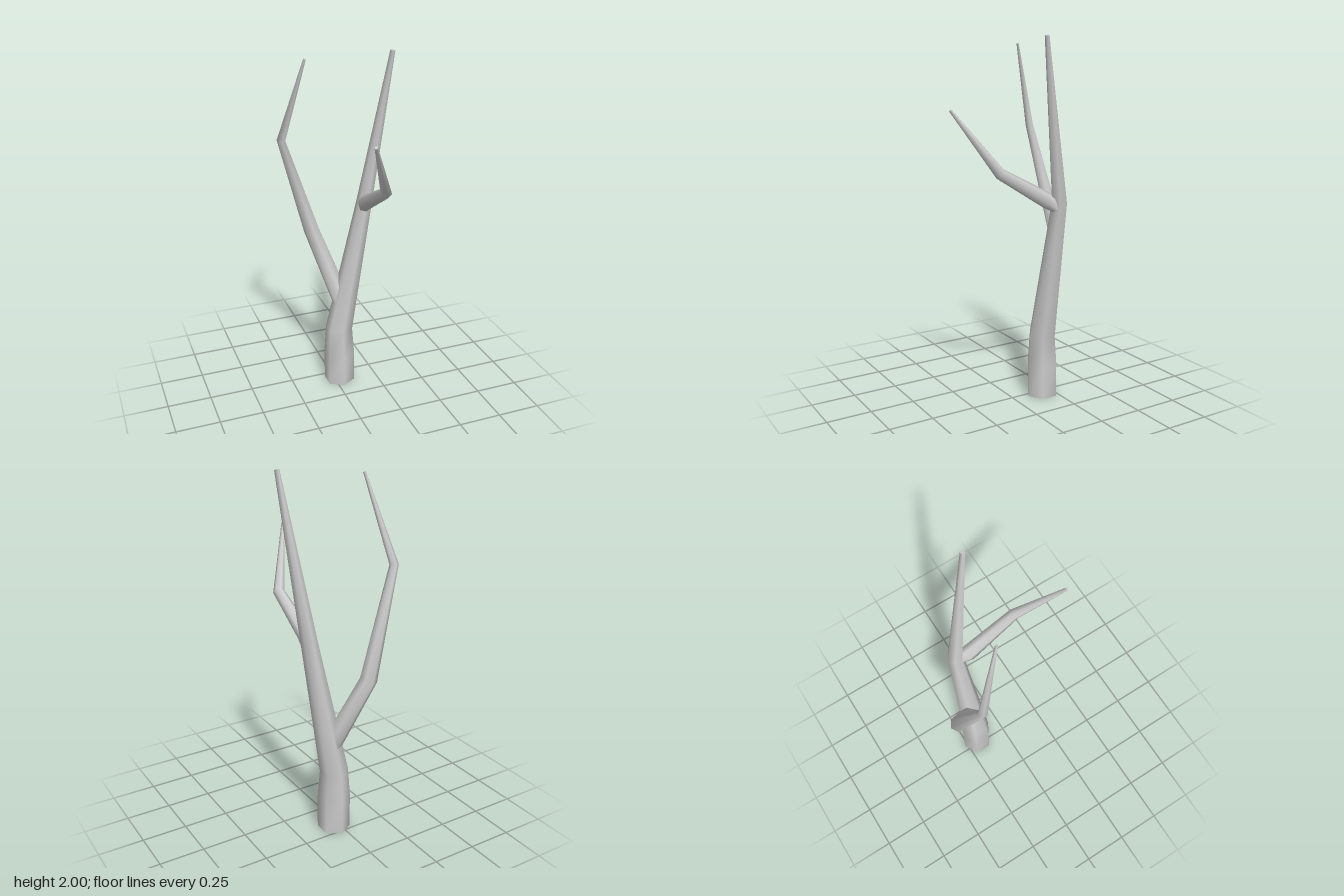
import * as THREE from 'three';

const SIDES = 6;
const material = new THREE.MeshStandardMaterial({ color: 0xcccccc });

// Lofts a six-sided tapering limb through rings given as [x, y, z, radius]
function limb(name, rings) {
  const centres = rings.map(([x, y, z]) => new THREE.Vector3(x, y, z));
  const up = new THREE.Vector3(0, 1, 0);
  const positions = [], indices = [];
  const last = rings.length - 1;

  const loops = rings.map((ring, i) => {
    // Each ring faces halfway between its two neighbouring segments
    const dir = new THREE.Vector3();
    if (i > 0) dir.add(centres[i].clone().sub(centres[i - 1]).normalize());
    if (i < last) dir.add(centres[i + 1].clone().sub(centres[i]).normalize());
    const turn = new THREE.Quaternion().setFromUnitVectors(up, dir.normalize());
    return Array.from({ length: SIDES }, (_, j) => {
      const a = (j / SIDES) * Math.PI * 2;
      return new THREE.Vector3(Math.sin(a), 0, Math.cos(a))
        .multiplyScalar(ring[3]).applyQuaternion(turn).add(centres[i]);
    });
  });
  const push = (p) => positions.push(p.x, p.y, p.z) / 3 - 1;

  // Bark walls share vertices so they shade smoothly
  loops.forEach((loop) => loop.forEach(push));
  for (let i = 0; i < last; i++) {
    for (let j = 0; j < SIDES; j++) {
      const a = i * SIDES + j, b = i * SIDES + (j + 1) % SIDES;
      indices.push(a, b, b + SIDES, a, b + SIDES, a + SIDES);
    }
  }
  // Flat end caps have their own vertices to keep the rim sharp
  [0, last].forEach((i) => {
    const first = positions.length / 3;
    loops[i].forEach(push);
    for (let j = 1; j < SIDES - 1; j++) {
      if (i === 0) indices.push(first, first + j + 1, first + j);
      else indices.push(first, first + j, first + j + 1);
    }
  });

  const geometry = new THREE.BufferGeometry();
  geometry.setAttribute('position', new THREE.Float32BufferAttribute(positions, 3));
  geometry.setIndex(indices);
  geometry.computeVertexNormals();
  const mesh = new THREE.Mesh(geometry, material);
  mesh.name = name;
  return mesh;
}

export function createModel() {
  const tree = new THREE.Group();
  tree.name = 'bareTree';
  tree.add(
    limb('trunk', [
      [0.03, 0, -0.18, 0.09],
      [0.03, 0.2, -0.18, 0.09],
      [0.03, 0.36, -0.18, 0.078],
      [0.183, 1.14, -0.18, 0.044],
      [0.27, 1.997, -0.033, 0.013],
    ]),
    limb('rearBranch', [
      [0.045, 0.54, -0.19, 0.055],
      [-0.08, 0.935, -0.333, 0.046],
      [-0.262, 1.51, -0.275, 0.024],
      [-0.166, 1.963, -0.135, 0.007],
    ]),
    limb('frontBranch', [
      [0.18, 1.11, -0.17, 0.034],
      [0.16, 1.155, -0.11, 0.044],
      [0.16, 1.315, 0.172, 0.031],
      [0.015, 1.632, 0.373, 0.009],
    ]),
  );
  return tree;
}
